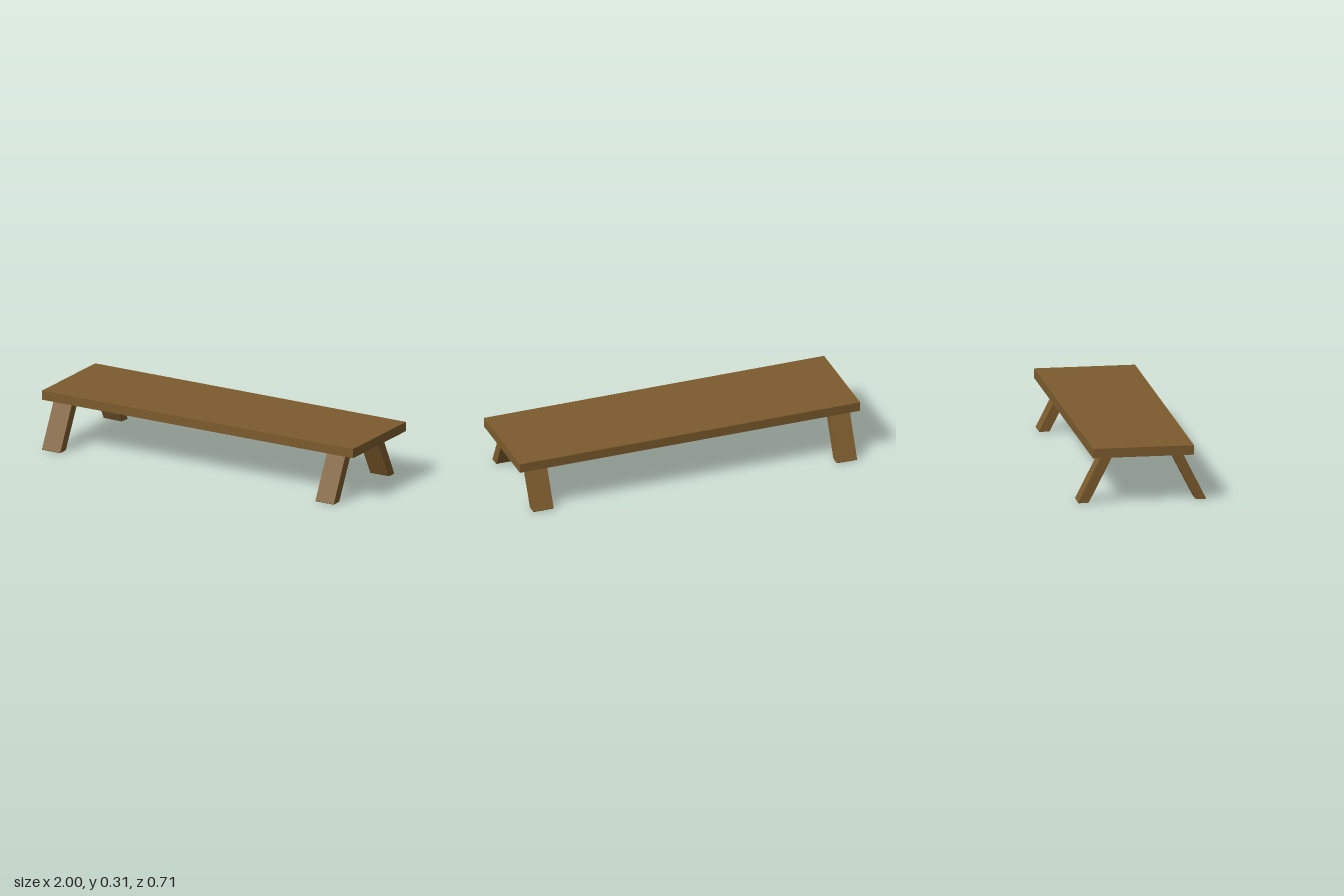
import * as THREE from 'three';

export function createModel() {
  const model = new THREE.Group();
  model.name = 'bench';
  const wood = new THREE.MeshStandardMaterial({ color: 0x7d5c2e });
  wood.name = 'brown wood';

  // Seat plank
  const seat = new THREE.Mesh(new THREE.BoxGeometry(2, 0.053, 0.564), wood);
  seat.name = 'seat';
  seat.position.set(0, 0.2885, 0);
  model.add(seat);

  // Slanted leg profile: x runs outward from the bench, y is up
  const profile = new THREE.Shape([
    new THREE.Vector2(0.037, 0.002),
    new THREE.Vector2(0.094, 0),
    new THREE.Vector2(0.096, 0.003),
    new THREE.Vector2(-0.034, 0.262),
    new THREE.Vector2(-0.093, 0.256),
  ]);
  const legGeometry = new THREE.ExtrudeGeometry(profile, { depth: 0.118, bevelEnabled: false });
  legGeometry.translate(0, 0, -0.059);

  // Legs splay to front and back; one back leg is set further in, one is slightly turned
  const legs = [
    ['frontRightLeg', -0.897, 0.26, 0],
    ['frontLeftLeg', 0.862, 0.26, 0],
    ['backRightLeg', -0.897, -0.26, -0.02],
    ['backLeftLeg', 0.862, -0.19, 0],
  ];
  for (const [name, x, z, twist] of legs) {
    const leg = new THREE.Mesh(legGeometry, wood);
    leg.name = name;
    leg.position.set(x, 0, z);
    leg.rotation.y = -Math.sign(z) * Math.PI / 2 + twist;
    model.add(leg);
  }
  return model;
}
